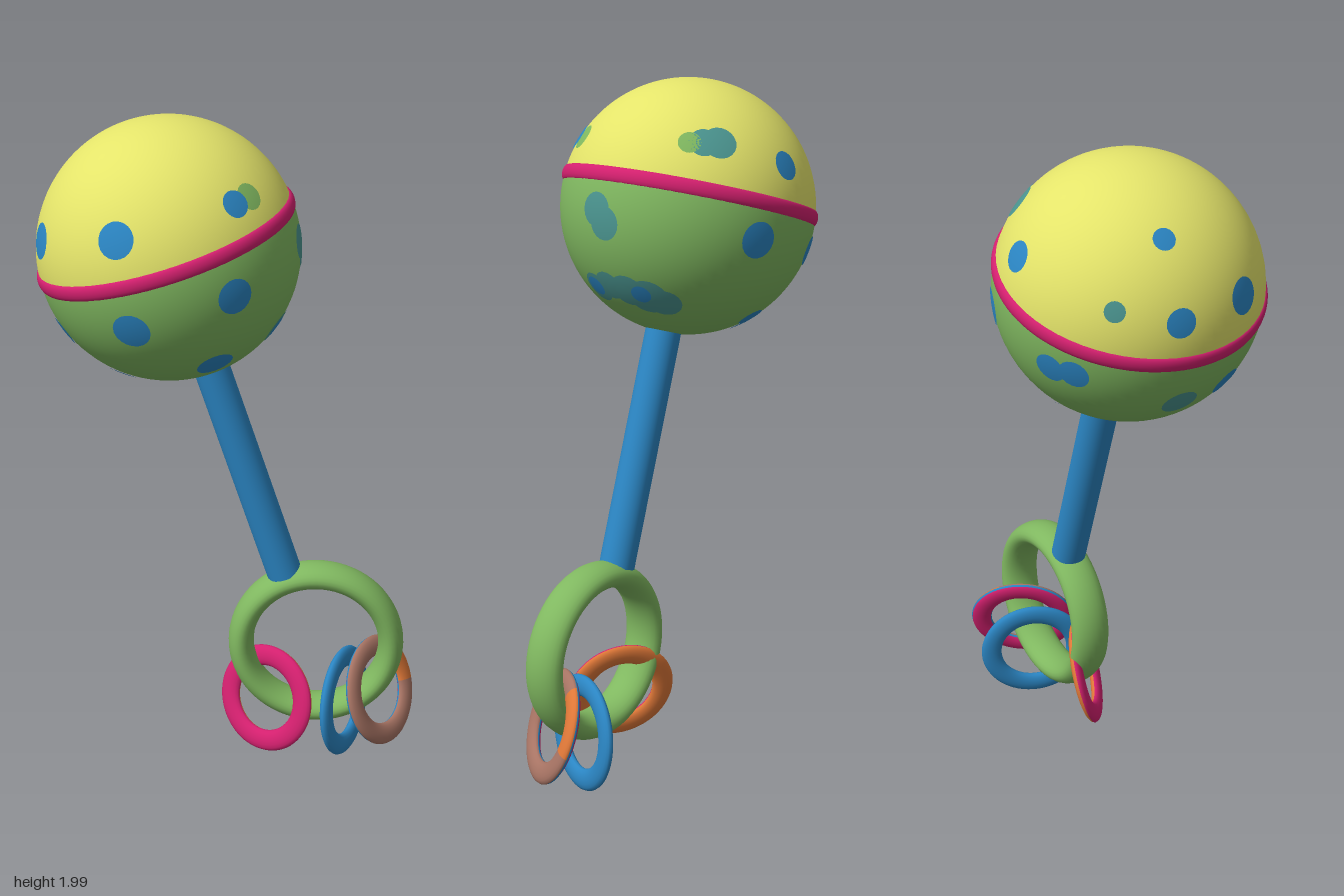
import * as THREE from 'three';

const paint = (name, color) => {
  const m = new THREE.MeshStandardMaterial({ color });
  m.name = name;
  return m;
};

export function createModel() {
  const yellow = paint('yellow', 0xe4e46a);
  const green = paint('green', 0x80b860);
  const blue = paint('blue', 0x2b86c4);
  const pink = paint('pink', 0xd4206f);
  const orange = paint('orange', 0xe07838);
  const brown = paint('brown', 0xa87464);
  const teal = paint('teal', 0x4b9590);

  const model = new THREE.Group();
  model.name = 'babyRattle';
  const add = (parent, name, geometry, material) => {
    const mesh = new THREE.Mesh(geometry, material);
    mesh.name = name;
    parent.add(mesh);
    return mesh;
  };
  const UP = new THREE.Vector3(0, 1, 0);
  const FORWARD = new THREE.Vector3(0, 0, 1);

  // Ball: two coloured shells joined by a flat band, tilted with the handle
  const R = 0.368, seam = 0.03, split = Math.acos(seam / R);
  const ball = new THREE.Group();
  ball.name = 'ball';
  ball.position.set(-0.185, 1.632, 0);
  model.add(ball);
  const shell = new THREE.Group();
  shell.name = 'shell';
  shell.rotation.z = 0.302;
  ball.add(shell);
  add(shell, 'upperShell', new THREE.SphereGeometry(R, 64, 32, 0, Math.PI * 2, 0, split), yellow);
  add(shell, 'lowerShell', new THREE.SphereGeometry(R, 64, 32, 0, Math.PI * 2, split, Math.PI - split), green);
  const band = add(shell, 'band', new THREE.TorusGeometry(0.362, 0.012, 16, 96).scale(1, 1, 1.9), pink);
  band.rotation.x = Math.PI / 2;
  band.position.y = seam;

  // Painted spots: thin caps, [x, y, z, radius] measured from the ball centre
  const addSpots = (name, material, lift, list) => list.forEach(([x, y, z, r]) => {
    const cap = add(ball, name, new THREE.SphereGeometry(R + lift, 20, 4, 0, Math.PI * 2, 0, r / R), material);
    cap.quaternion.setFromUnitVectors(UP, new THREE.Vector3(x, y, z).normalize());
  });
  addSpots('blueSpot', blue, 0.003, [
    // front
    [-0.109, 0.125, 0.325, 0.05], [-0.331, 0.06, 0.14, 0.05], [0.195, 0.2, 0.235, 0.038],
    [-0.072, -0.119, 0.337, 0.052], [0.198, -0.029, 0.305, 0.05], [0.14, -0.251, 0.225, 0.052],
    [-0.278, -0.199, 0.128, 0.045], [-0.119, -0.32, 0.129, 0.045],
    // back and sides
    [0.13, -0.035, -0.338, 0.052], [-0.002, 0.15, -0.332, 0.042], [-0.272, 0.235, -0.065, 0.03],
    [-0.358, 0.04, -0.064, 0.04], [-0.14, -0.11, -0.32, 0.043], [-0.2, -0.113, -0.285, 0.043],
    [0.0, -0.285, -0.22, 0.038], [-0.02, -0.32, -0.17, 0.034],
    [0.3, -0.19, 0.09, 0.032], [0.3, -0.19, -0.07, 0.03],
  ]);
  addSpots('tealSpot', teal, 0.002, [
    [0.17, 0.225, -0.235, 0.048], [0.2, 0.225, -0.205, 0.042],
    [0.36, 0.04, 0.04, 0.048], [0.362, 0.005, 0.01, 0.048], [-0.285, 0.077, -0.215, 0.028],
    [-0.29, -0.22, -0.02, 0.05],
    [0.3, -0.195, 0.085, 0.05], [0.3, -0.17, 0.03, 0.048], [0.3, -0.18, -0.03, 0.055],
    [0.29, -0.2, -0.085, 0.062], [0.27, -0.22, -0.125, 0.05],
  ]);
  addSpots('greenSpot', green, 0.002, [
    [0.225, 0.205, 0.19, 0.038], [0.225, 0.225, -0.175, 0.032],
  ]);

  // Handle rod from the ball to the big ring
  const top = new THREE.Vector3(-0.085, 1.33, 0), bottom = new THREE.Vector3(0.147, 0.625, 0);
  const rod = add(model, 'handle', new THREE.CylinderGeometry(0.052, 0.052, top.distanceTo(bottom), 32), blue);
  rod.position.copy(top).add(bottom).multiplyScalar(0.5);
  rod.quaternion.setFromUnitVectors(UP, top.clone().sub(bottom).normalize());

  // Big grip ring, wider than it is thick
  const grip = add(model, 'gripRing', new THREE.TorusGeometry(0.226, 0.038, 24, 72).scale(1, 1, 1.6), green);
  grip.position.set(0.244, 0.395, 0);

  // Flat loose rings; each arc is [start, length, front colour, back colour, rim colour]
  const looseRing = (name, center, normal, radius, arcs) => {
    const ring = new THREE.Group();
    ring.name = name;
    ring.position.set(...center);
    ring.quaternion.setFromUnitVectors(FORWARD, new THREE.Vector3(...normal).normalize());
    model.add(ring);
    for (const [start, length, front, back, rim] of arcs) {
      const g = new THREE.TorusGeometry(radius, 0.032, 16, 64, length).scale(1, 1, 0.52).rotateZ(start);
      const row = g.index.count / 16;
      g.clearGroups();
      // front face, inner rim, back face, outer rim
      [[0, 8, 0], [8, 1, 2], [9, 6, 1], [15, 1, 2]].forEach(([from, rows, slot]) =>
        g.addGroup(from * row, rows * row, slot));
      add(ring, name + 'Arc', g, [front, back, rim]);
    }
  };
  const full = Math.PI * 2;
  looseRing('pinkRing', [0.096, 0.209, 0.03], [-0.54, 0.26, 0.8], 0.132, [[0, full, pink, orange, orange]]);
  looseRing('blueRing', [0.334, 0.175, -0.025], [0.92, 0.1, 0.38], 0.137, [[0, full, blue, blue, blue]]);
  looseRing('orangeRing', [0.442, 0.229, -0.004], [0.79, 0.33, 0.5], 0.135,
    [[0, 1.3, orange, pink, blue], [1.3, full - 1.3, brown, pink, blue]]);

  return model;
}
